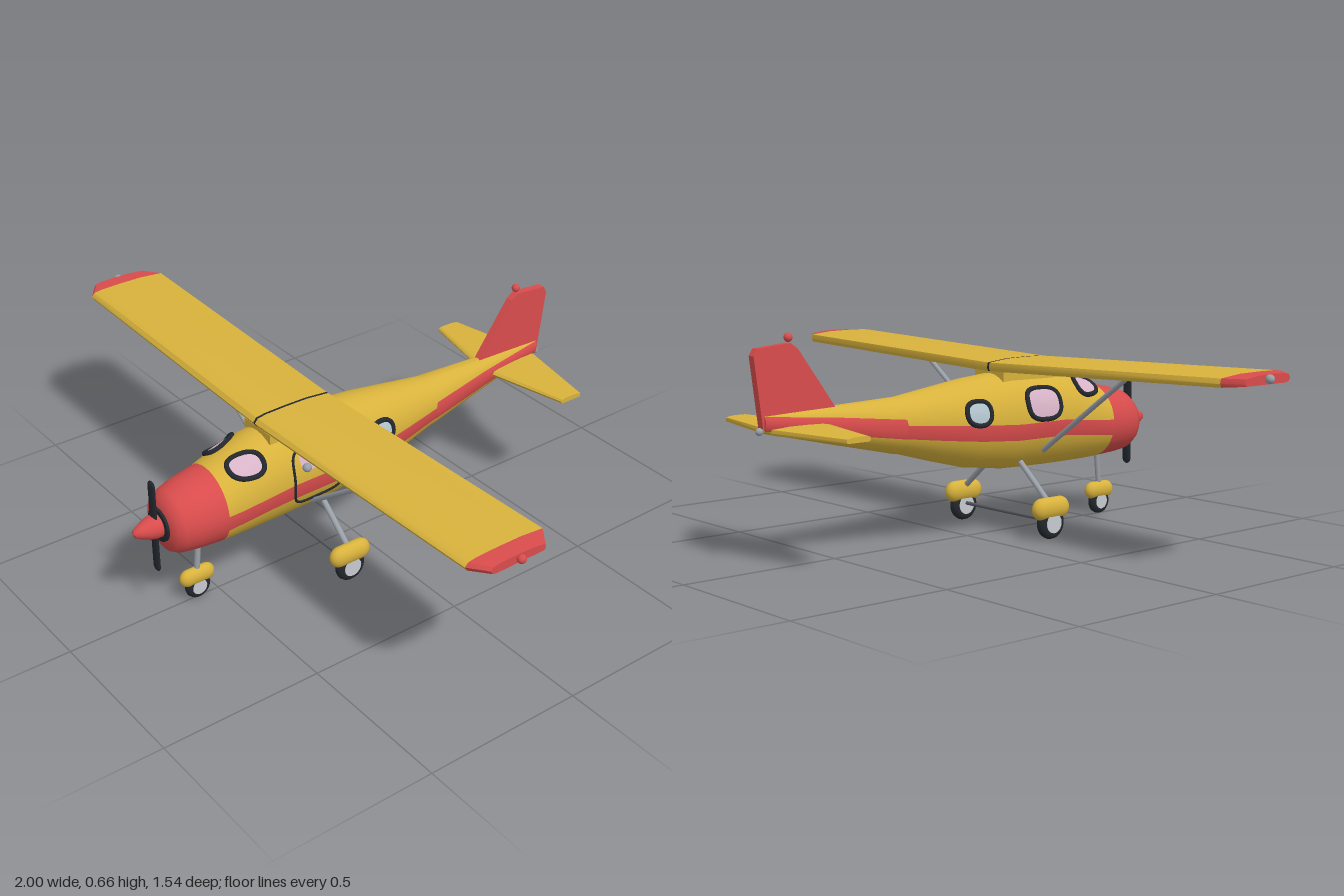
import * as THREE from 'three';
import { toCreasedNormals } from 'three/addons/utils/BufferGeometryUtils.js';

const mat = (name, color, side = THREE.FrontSide) => {
  const m = new THREE.MeshStandardMaterial({ color, side });
  m.name = name;
  return m;
};

// fuselage stations, tail to nose: z, top, bottom, half width, stripe low, stripe high
const STATIONS = [
  [-0.74, 0.438, 0.385, 0.02, 0.391, 0.432],
  [-0.5, 0.443, 0.33, 0.042, 0.361, 0.412],
  [-0.285, 0.45, 0.282, 0.07, 0.332, 0.39],
  [-0.28, 0.45, 0.283, 0.07, 0.332, 0.372],
  [-0.15, 0.468, 0.247, 0.092, 0.317, 0.362],
  [-0.02, 0.486, 0.214, 0.112, 0.304, 0.353],
  [0.12, 0.498, 0.196, 0.121, 0.295, 0.345],
  [0.3, 0.495, 0.192, 0.123, 0.295, 0.345],
  [0.37, 0.485, 0.192, 0.122, 0.29, 0.338],
  [0.47, 0.453, 0.193, 0.119, 0.28, 0.328],
  [0.52, 0.432, 0.195, 0.117, 0.275, 0.325],
  [0.6, 0.417, 0.2, 0.108, 0.275, 0.325],
  [0.65, 0.402, 0.206, 0.096, 0.28, 0.325],
  [0.672, 0.385, 0.218, 0.083, 0.285, 0.325],
  [0.682, 0.35, 0.26, 0.044, 0.29, 0.32],
];

// point on the fuselage skin at z and angle phi (0 = side, 90 degrees = top)
function skin(z, phi, lift = 0, side = 1) {
  let i = 0;
  while (i < STATIONS.length - 2 && STATIONS[i + 1][0] < z) i++;
  const a = STATIONS[i], b = STATIONS[i + 1], t = (z - a[0]) / (b[0] - a[0]);
  const [, top, bot, w] = a.map((v, k) => v + (b[k] - v) * t);
  return new THREE.Vector3(
    side * (w + lift) * Math.cos(phi),
    (top + bot) / 2 + ((top - bot) / 2 + lift) * Math.sin(phi), z);
}

// closed loft through rings of points, one material group per colour index
function loft(rings, materials, colourOf, crease = 0.7) {
  const n = rings[0].length, last = rings.length - 1;
  const pos = rings.flat().flatMap((p) => p.toArray());
  const faces = materials.map(() => []);
  for (let i = 0; i < last; i++) for (let j = 0; j < n; j++) {
    const a = i * n + j, b = i * n + (j + 1) % n;
    faces[colourOf(i, j)].push(a, b, b + n, a, b + n, a + n);
  }
  for (const [r, flip] of [[0, true], [last, false]]) {
    const c = rings[r].reduce((s, p) => s.add(p), new THREE.Vector3()).divideScalar(n);
    const centre = pos.length / 3;
    pos.push(...c.toArray());
    for (let j = 0; j < n; j++) {
      const a = r * n + j, b = r * n + (j + 1) % n;
      faces[colourOf(Math.min(r, last - 1), j)].push(centre, flip ? b : a, flip ? a : b);
    }
  }
  const g = new THREE.BufferGeometry();
  g.setAttribute('position', new THREE.Float32BufferAttribute(pos, 3));
  g.setIndex(faces.flat());
  let start = 0;
  faces.forEach((f, k) => { g.addGroup(start, f.length, k); start += f.length; });
  return new THREE.Mesh(toCreasedNormals(g, crease), materials);
}

// aerofoil: chord fraction from trailing to leading edge, thickness fraction
const FOIL = [[0, 0.3], [0.012, 0.75], [0.3, 0.97], [0.6, 1], [0.85, 0.97], [0.96, 0.85],
  [1, 0.5], [0.97, 0.12], [0.9, 0], [0.02, 0]];
// stations: x, trailing z, leading z, base y, thickness
const foilRings = (stations) => stations.map(([x, z0, z1, y, t]) =>
  FOIL.map(([u, v]) => new THREE.Vector3(x, y + v * t, z0 + u * (z1 - z0))));
const mirrored = (half) => [...half.map(([x, ...r]) => [-x, ...r]), ...half.slice().reverse()];

export function createModel() {
  const model = new THREE.Group();
  const yellow = mat('yellow paint', 0xd8b23c), red = mat('red paint', 0xd94c4c);
  const dark = mat('black rubber', 0x23282e), grey = mat('grey metal', 0x9aa0a8);
  const axleGrey = mat('dark metal', 0x5a5c62), hubGrey = mat('light metal', 0xc6cad0);
  const lilac = mat('lilac glass', 0xd8b4c8, THREE.DoubleSide);
  const blue = mat('pale blue glass', 0xb4c6d0, THREE.DoubleSide);

  const add = (name, obj, x = 0, y = 0, z = 0) => {
    obj.name = name;
    obj.position.set(x, y, z);
    model.add(obj);
    return obj;
  };
  const part = (name, geo, m, x, y, z) => add(name, new THREE.Mesh(geo, m), x, y, z);
  const ball = (name, m, x, y, z, r = 0.013) => part(name, new THREE.SphereGeometry(r, 16, 12), m, x, y, z);
  const bar = (name, m, from, to, r) => {
    const a = new THREE.Vector3(...from), b = new THREE.Vector3(...to), mid = a.clone().add(b).multiplyScalar(0.5);
    const mesh = part(name, new THREE.CylinderGeometry(r, r, a.distanceTo(b), 12), m, mid.x, mid.y, mid.z);
    mesh.quaternion.setFromUnitVectors(new THREE.Vector3(0, 1, 0), b.sub(a).normalize());
  };

  // fuselage: belly, side stripe and roof arcs, with a red cowl at the nose
  const [BELLY, STRIPE, ROOF] = [7, 3, 8], half = BELLY + STRIPE + ROOF;
  const rings = STATIONS.map(([z, top, bot, , lo, hi]) => {
    const angle = (y) => Math.asin((y - (top + bot) / 2) / ((top - bot) / 2));
    const stops = [-Math.PI / 2, angle(lo), angle(hi), Math.PI / 2];
    const phis = [];
    [BELLY, STRIPE, ROOF].forEach((n, k) => {
      for (let i = 0; i < n; i++) phis.push(stops[k] + (stops[k + 1] - stops[k]) * i / n);
    });
    phis.push(Math.PI / 2);
    return [...phis.map((p) => skin(z, p)), ...phis.slice(1, -1).reverse().map((p) => skin(z, p, 0, -1))];
  });
  add('fuselage', loft(rings, [yellow, red], (i, j) => {
    const k = j < half ? j : 2 * half - 1 - j;
    return STATIONS[i][0] >= 0.52 || (k >= BELLY && k < BELLY + STRIPE) ? 1 : 0;
  }, 0.9));

  // wing in one span: red tips and a dark centre seam
  const wingHalf = [[0.978, 0.125, 0.31, 0.534, 0.027], [0.925, 0.085, 0.35, 0.53, 0.033],
    [0.004, 0.085, 0.35, 0.5, 0.036]];
  add('wing', loft(foilRings(mirrored(wingHalf)), [yellow, red, dark], (i) => [1, 0, 2, 0, 1][i]));
  part('wingPylon', new THREE.BoxGeometry(0.13, 0.03, 0.25), yellow, 0, 0.487, 0.215);

  // tailplane and fin
  const tailHalf = [[0.295, -0.67, -0.59, 0.382, 0.016], [0.03, -0.722, -0.533, 0.379, 0.022]];
  add('tailplane', loft(foilRings(mirrored(tailHalf)), [yellow], () => 0));
  const finShape = new THREE.Shape([[0.5, 0.43], [0.72, 0.39], [0.745, 0.4], [0.772, 0.6], [0.76, 0.62],
    [0.65, 0.63], [0.625, 0.612], [0.5, 0.44]].map(([x, y]) => new THREE.Vector2(x, y)));
  part('fin', new THREE.ExtrudeGeometry(finShape, { depth: 0.024, bevelEnabled: false }), red, -0.012)
    .rotation.y = Math.PI / 2;

  // lamps
  ball('finLamp', red, 0, 0.645, -0.65);
  ball('tailLamp', grey, 0, 0.39, -0.75, 0.011);
  ball('leftWingLamp', red, 0.986, 0.549, 0.215);
  ball('rightWingLamp', grey, -0.986, 0.549, 0.215);
  ball('landingLamp', grey, 0.28, 0.516, 0.365);

  // windows and door, wrapped onto the skin as rounded outlines
  const outline = (o, side, lift, s = 1) => Array.from({ length: 40 }, (_, k) => {
    const t = k / 40 * Math.PI * 2, c = Math.cos(t), d = Math.sin(t), e = 2 / o.n;
    const dz = s * o.rz * Math.sign(c) * Math.abs(c) ** e;
    const phi = o.phi + s * o.rphi * Math.sign(d) * Math.abs(d) ** e + (o.shear || 0) * dz;
    return skin(o.z + dz, phi, lift, side);
  });
  const frame = (name, o, side, r) => part(name, new THREE.TubeGeometry(
    new THREE.CatmullRomCurve3(outline(o, side, 0.002), true), 80, r, 8, true), dark);
  const pane = (name, o, side, m) => {
    const layers = [0.01, 0.35, 0.7, 1].map((s) => outline(o, side, 0.004, s));
    const index = [];
    for (let i = 0; i < 3; i++) for (let j = 0; j < 40; j++) {
      const a = i * 40 + j, b = i * 40 + (j + 1) % 40;
      // winding follows the side so the face looks outward
      index.push(...(side > 0 ? [a, b, b + 40, a, b + 40, a + 40] : [a, b + 40, b, a, a + 40, b + 40]));
    }
    const g = new THREE.BufferGeometry().setFromPoints(layers.flat());
    g.setIndex(index);
    g.computeVertexNormals();
    part(name, g, m);
  };
  const windscreen = { z: 0.43, phi: 0.95, rz: 0.05, rphi: 0.31, n: 2.4, shear: 2.5 };
  const porthole = { z: -0.04, phi: 0.31, rz: 0.042, rphi: 0.28, n: 2.4 };
  const sideWindow = { z: 0.215, phi: 0.4, rz: 0.066, rphi: 0.34, n: 2.8 };
  const door = { z: 0.207, phi: 0.1, rz: 0.089, rphi: 0.62, n: 4.5 };
  const doorWindow = { z: 0.207, phi: 0.49, rz: 0.064, rphi: 0.27, n: 3.5 };
  for (const s of [1, -1]) {
    pane('windscreen', windscreen, s, lilac);
    frame('windscreenFrame', windscreen, s, 0.008);
    pane('porthole', porthole, s, blue);
    frame('portholeFrame', porthole, s, 0.008);
  }
  pane('sideWindow', sideWindow, -1, lilac);
  frame('sideWindowFrame', sideWindow, -1, 0.008);
  frame('doorOutline', door, 1, 0.004);
  pane('doorWindow', doorWindow, 1, lilac);
  part('doorHandle', new THREE.BoxGeometry(0.012, 0.008, 0.035), dark, 0.122, 0.366, 0.152);

  // propeller and spinner
  part('propellerHub', new THREE.CylinderGeometry(0.052, 0.052, 0.014, 24), dark, 0, 0.305, 0.681)
    .rotation.x = Math.PI / 2;
  part('propeller', new THREE.CapsuleGeometry(0.017, 0.272, 6, 16), dark, 0, 0.305, 0.7).scale.z = 0.4;
  const nose = [[0.036, 0.685], [0.036, 0.705], [0.031, 0.725], [0.021, 0.748], [0.012, 0.765], [0, 0.77]];
  part('spinner', new THREE.LatheGeometry(nose.map((p) => new THREE.Vector2(...p)), 24), red, 0, 0.305, 0)
    .rotation.x = Math.PI / 2;

  // landing gear
  const wheel = (name, x, z, r, tube, width) => {
    part(name + 'Tyre', new THREE.TorusGeometry(r - tube, tube, 12, 32), dark, x, r, z).rotation.y = Math.PI / 2;
    part(name + 'Hub', new THREE.CylinderGeometry(r * 0.6, r * 0.6, width, 20), hubGrey, x, r, z)
      .rotation.z = Math.PI / 2;
    const cover = part(name + 'Fairing', new THREE.CapsuleGeometry(r * 0.68, r * 1.45, 8, 20), yellow, x, r * 1.9, z);
    cover.rotation.x = Math.PI / 2;
    cover.scale.x = 0.74;
  };
  wheel('noseWheel', 0, 0.57, 0.041, 0.015, 0.03);
  bar('noseLeg', grey, [0, 0.09, 0.57], [0, 0.23, 0.556], 0.009);
  for (const s of [1, -1]) {
    wheel('mainWheel', s * 0.203, 0.16, 0.05, 0.017, 0.036);
    bar('mainLeg', grey, [s * 0.195, 0.11, 0.16], [s * 0.05, 0.235, 0.16], 0.009);
    bar('wingStrut', grey, [s * 0.475, 0.52, 0.22], [s * 0.105, 0.255, 0.22], 0.008);
  }
  bar('axle', axleGrey, [-0.203, 0.056, 0.16], [0.203, 0.056, 0.16], 0.006);
  return model;
}
